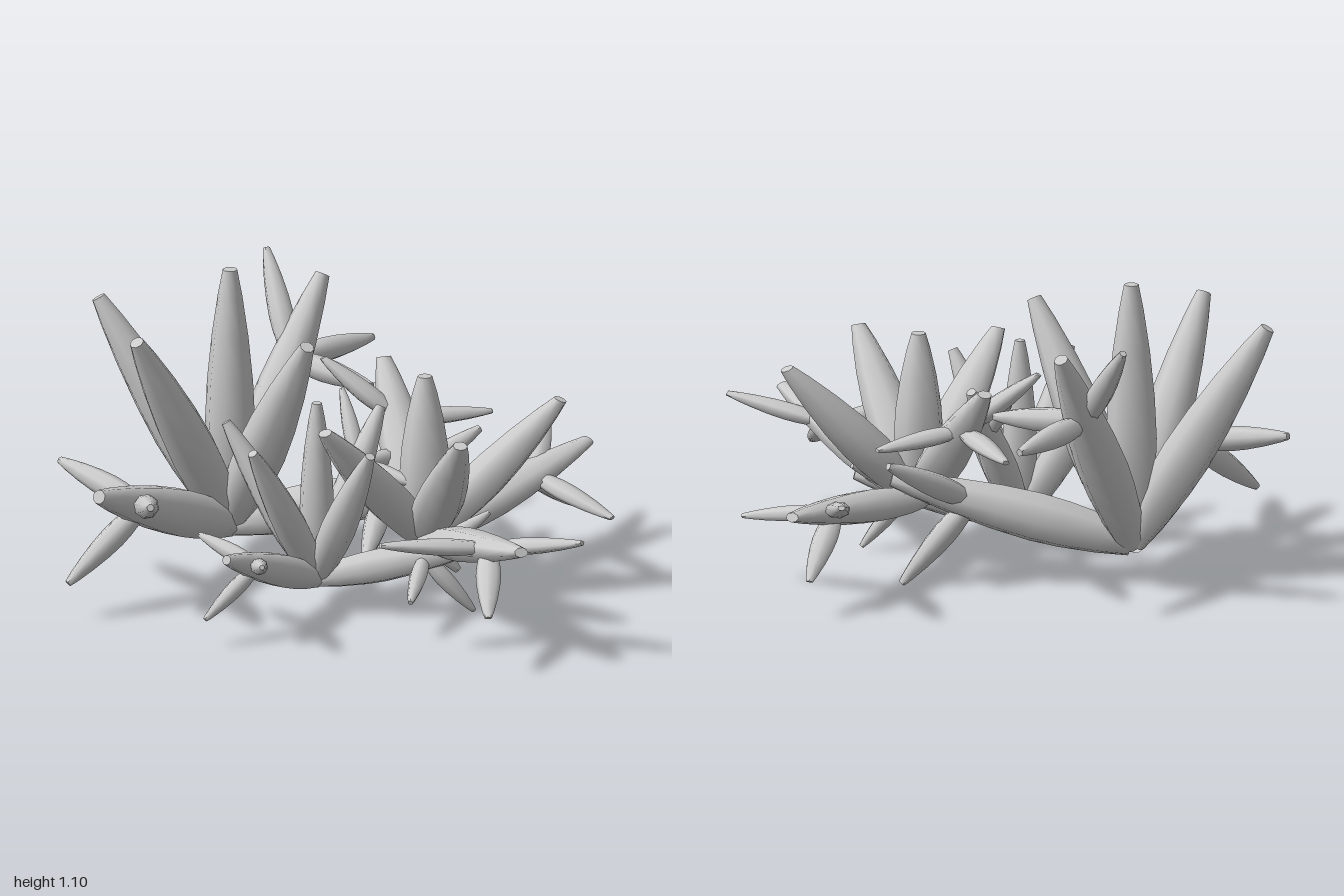
import * as THREE from 'three';
import { toCreasedNormals } from 'three/addons/utils/BufferGeometryUtils.js';

const material = new THREE.MeshStandardMaterial({ color: 0xcccccc, side: THREE.DoubleSide });
const UP = new THREE.Vector3(0, 1, 0);

// Spindle-shaped leaf of unit length: swollen below the middle, blunt cut tip
const PROFILE = [[0.052, 0], [0.072, 0.13], [0.086, 0.28], [0.09, 0.4], [0.083, 0.56], [0.066, 0.74], [0.044, 0.9], [0.026, 1], [0, 1]];

function spike(name, from, to, thickness) {
  const dir = to.clone().sub(from);
  const points = PROFILE.map(([r, t]) => new THREE.Vector2(r * thickness, t * dir.length()));
  const mesh = new THREE.Mesh(toCreasedNormals(new THREE.LatheGeometry(points, 8), 1), material);
  mesh.name = name;
  mesh.position.copy(from);
  mesh.quaternion.setFromUnitVectors(UP, dir.normalize());
  return mesh;
}

// Leaf tips relative to the rosette's root; some leaves carry side shoots
const LEAVES = [
  { name: 'centreLeaf', tip: [0, 0.95, 0] },
  { name: 'backLeaf', tip: [-0.31, 0.8, -0.37] },
  { name: 'frontLeaf', tip: [0, 0.8, 0.48] },
  { name: 'sideLeaf', tip: [-0.47, 0.8, 0.1] },
  { name: 'budLeaf', tip: [0.48, 0.8, -0.12],
    shoots: [[0.39, 0.85, -0.34], [0.71, 0.51, -0.14], [0.43, 0.5, 0.26]] },
  { name: 'lowBranchA', tip: [-0.77, 0.34, 0.3],
    shoots: [[-0.6, 0.3, -0.19], [-0.82, -0.01, 0.18], [-0.7, 0.35, 0.52]] },
  { name: 'lowBranchB', tip: [0.59, 0.23, 0.61],
    shoots: [[0.6, -0.14, 0.55], [0.75, 0.34, 0.47], [0.12, 0.035, 0.67]] },
];

function rosette(name, position, scale, turn) {
  const group = new THREE.Group();
  group.name = name;
  const root = new THREE.Vector3();
  for (const leaf of LEAVES) {
    const tip = new THREE.Vector3(...leaf.tip);
    group.add(spike(leaf.name, root, tip, 1));
    // Side shoots fork off two thirds of the way along
    const fork = tip.clone().multiplyScalar(0.66);
    for (const end of leaf.shoots ?? []) {
      group.add(spike(leaf.name + 'Shoot', fork, new THREE.Vector3(...end), 0.5));
    }
  }
  group.position.set(...position);
  group.scale.set(...scale);
  group.rotation.y = turn;
  return group;
}

export function createModel() {
  const model = new THREE.Group();
  model.name = 'spikyPlant';
  model.add(
    rosette('tallRosette', [-0.18, 0.15, -0.61], [1, 1, 1], 0),
    rosette('flatRosette', [0.16, 0.23, 0.11], [1, 0.645, 1], THREE.MathUtils.degToRad(58.5)),
    rosette('smallRosette', [-0.2, 0.115, -0.04], [0.69, 0.69, 0.69], 0),
  );
  return model;
}
